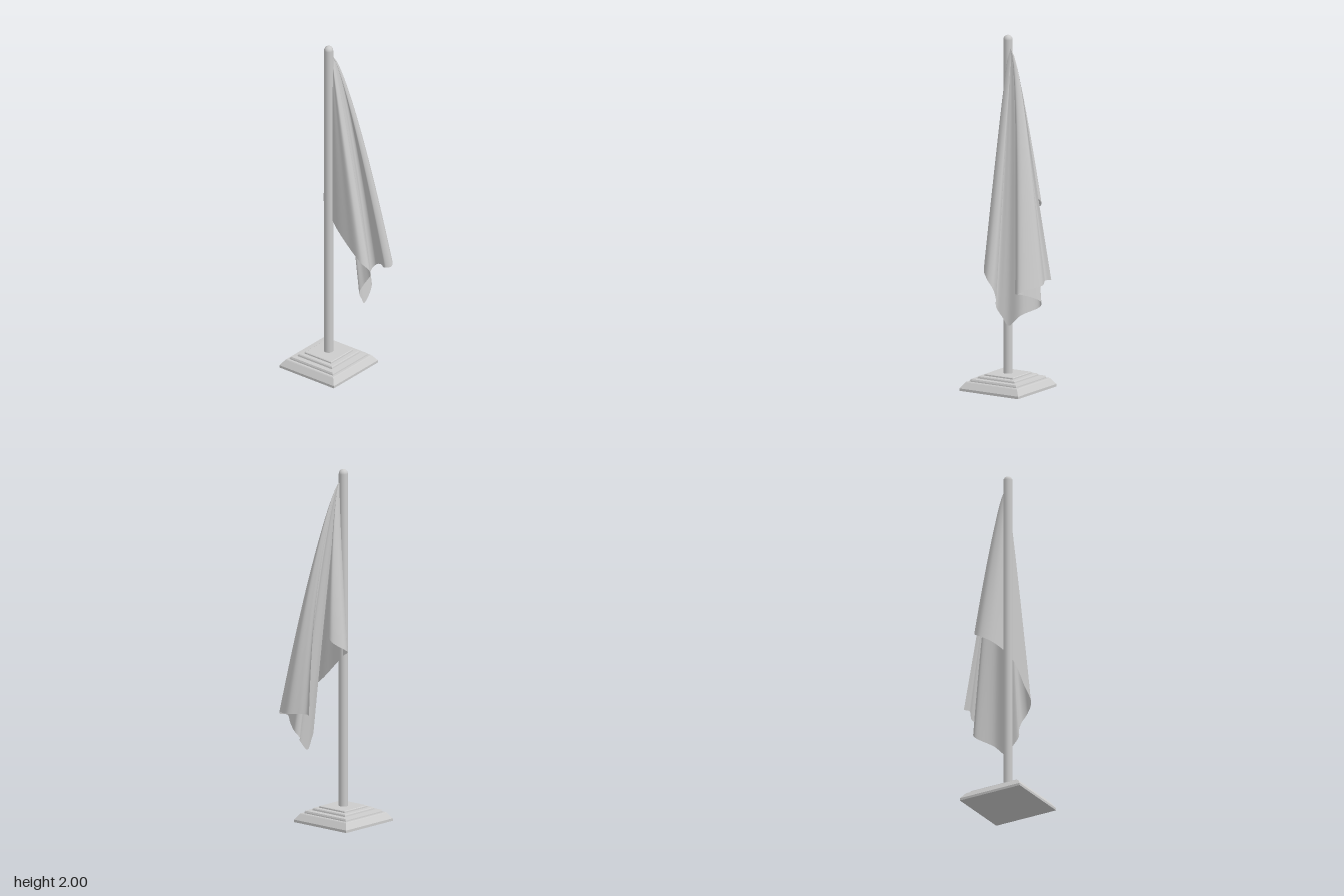
import * as THREE from 'three';

const POLE_X = -0.035, POLE_Z = 0.06;

// Free edge of the cloth: along the bottom from the hoist, round the lowest corner, up the fly end
const RIM = [
  [-0.03, 1.12, 0.04], [-0.04, 1.1, -0.05], [-0.06, 1.1, -0.1], [-0.105, 1.06, -0.115],
  [-0.148, 1.015, -0.06], [-0.125, 0.985, -0.005], [-0.05, 0.945, 0.04], [0.02, 0.89, 0.068],
  [0.12, 0.79, 0.07], [0.2, 0.72, 0.066], [0.225, 0.67, 0.028], [0.212, 0.62, 0],
  [0.175, 0.56, 0.004], [0.148, 0.5, 0.018], [0.136, 0.445, -0.015], [0.13, 0.4, -0.05],
  [0.12, 0.465, -0.125], [0.05, 0.51, -0.205], [0.07, 0.545, -0.226], [0.13, 0.58, -0.195],
  [0.2, 0.605, -0.142], [0.224, 0.61, -0.172], [0.2, 0.63, -0.205], [0.105, 0.645, -0.253],
  [0.04, 0.65, -0.228], [-0.005, 0.65, -0.207], [-0.035, 0.65, -0.225],
].map((p) => new THREE.Vector3(...p));

function createCloth(material) {
  const apex = new THREE.Vector3(-0.025, 1.93, 0.04);
  const rim = new THREE.CatmullRomCurve3(RIM);
  const geo = new THREE.PlaneGeometry(1, 1, 156, 32);
  const pos = geo.attributes.position;
  const { lerp, smoothstep } = THREE.MathUtils;
  for (let i = 0; i < pos.count; i++) {
    const t = pos.getX(i) + 0.5;
    const s = Math.max(0.5 - pos.getY(i), 0.004);
    const r = rim.getPoint(t);
    // Folds fan out from the apex; their depth opens sooner than their width
    const kx = Math.pow(s, lerp(1.1, 0.95, smoothstep(t, 0.15, 0.35)));
    const front = smoothstep(t, 0.2, 0.3) * (1 - smoothstep(t, 0.45, 0.6));
    const kz = Math.pow(s, lerp(0.65, 0.42, front));
    const sag = 0.028 * Math.sin(Math.PI * s) * Math.pow(t, 8);
    pos.setXYZ(i,
      apex.x + (r.x - apex.x) * kx + sag,
      apex.y + (r.y - apex.y) * s,
      apex.z + (r.z - apex.z) * kz);
  }
  geo.computeVertexNormals();
  const mesh = new THREE.Mesh(geo, material);
  mesh.name = 'drapedFlag';
  return mesh;
}

function createBase(material) {
  // Stepped square plinth: [half width, height]
  const profile = [
    [0, 0], [0.193, 0], [0.193, 0.014], [0.17, 0.046], [0.166, 0.05],
    [0.153, 0.05], [0.152, 0.056], [0.148, 0.064], [0.122, 0.066], [0.12, 0.074],
    [0.116, 0.079], [0.095, 0.08], [0.094, 0.087], [0.09, 0.09], [0, 0.09],
  ].map(([w, y]) => new THREE.Vector2(w * Math.SQRT2, y));
  const geo = new THREE.LatheGeometry(profile, 4).rotateY(Math.PI / 4).toNonIndexed();
  geo.computeVertexNormals();
  const mesh = new THREE.Mesh(geo, material);
  mesh.name = 'steppedBase';
  mesh.position.set(POLE_X, 0, POLE_Z);
  return mesh;
}

function createPole(material) {
  // Round pole with a domed tip
  const r = 0.026, top = 2 - r;
  const profile = [new THREE.Vector2(r, 0.085)];
  for (let i = 0; i <= 4; i++) {
    const a = (i / 4) * Math.PI / 2;
    profile.push(new THREE.Vector2(r * Math.cos(a), top + r * Math.sin(a)));
  }
  const mesh = new THREE.Mesh(new THREE.LatheGeometry(profile, 12), material);
  mesh.name = 'pole';
  mesh.position.set(POLE_X, 0, POLE_Z);
  return mesh;
}

export function createModel() {
  const group = new THREE.Group();
  group.name = 'flagOnStand';
  const solid = new THREE.MeshStandardMaterial({ color: 0xcccccc });
  const faceted = new THREE.MeshStandardMaterial({ color: 0xcccccc, flatShading: true });
  const cloth = new THREE.MeshStandardMaterial({ color: 0xcccccc, side: THREE.DoubleSide });
  group.add(createBase(faceted), createPole(solid), createCloth(cloth));
  return group;
}
